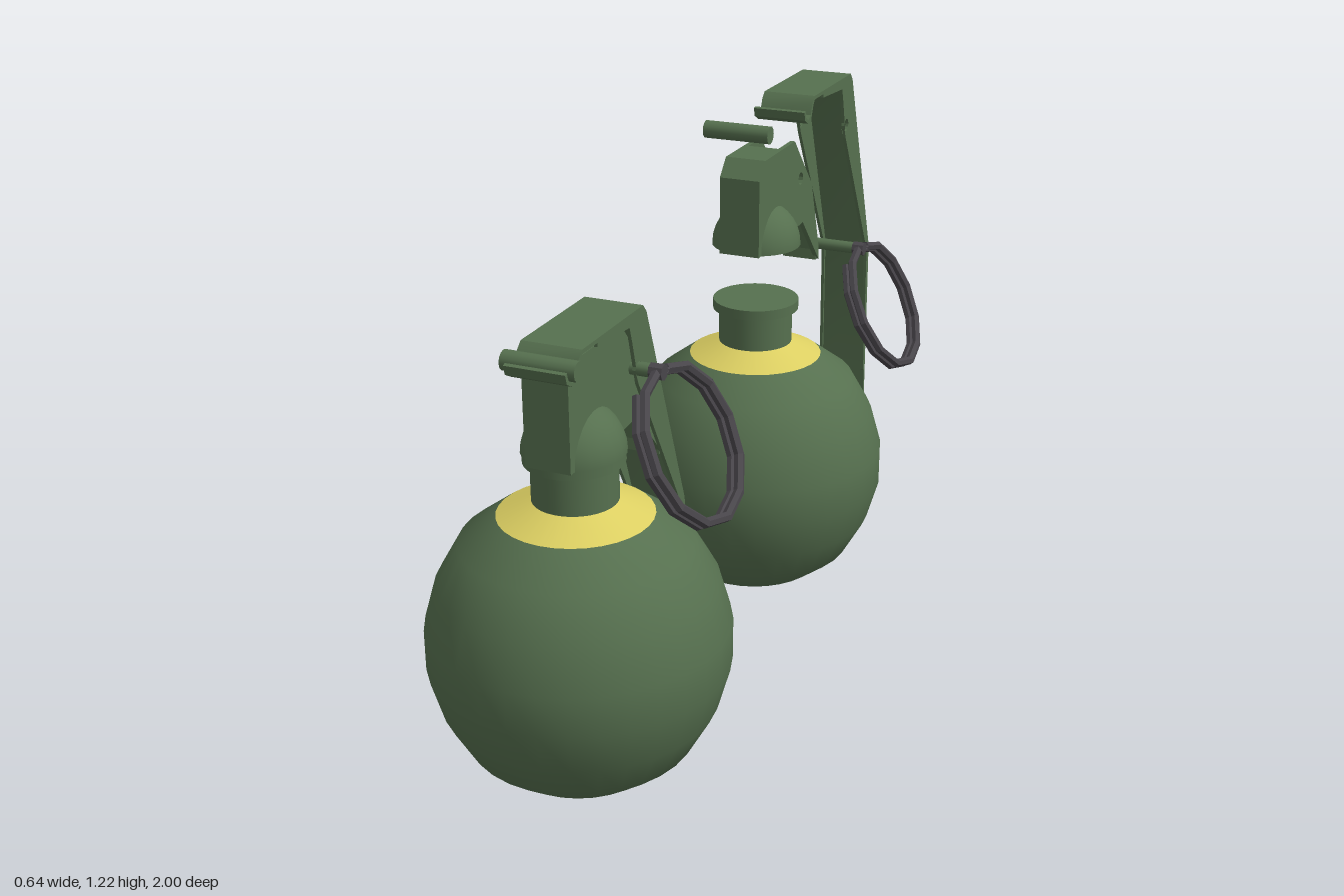
import * as THREE from 'three';
import { toCreasedNormals } from 'three/addons/utils/BufferGeometryUtils.js';

const mat = (color, flatShading = false) => new THREE.MeshStandardMaterial({ color, flatShading, side: THREE.DoubleSide });
const green = mat(0x56704f);
const yellow = mat(0xdccf62);
const steel = mat(0x48454a, true);

const mesh = (name, geo, material = green) => {
  const m = new THREE.Mesh(geo, material);
  m.name = name;
  return m;
};
const toVec = (pts) => pts.map(([a, b]) => new THREE.Vector2(a, b));

// Extrude a (z, y) outline along x, centred on the given x
function sideExtrude(pts, width, x = 0, hole = null) {
  const shape = new THREE.Shape(toVec(pts));
  if (hole) {
    const path = new THREE.Path();
    path.absarc(hole[0], hole[1], hole[2], 0, Math.PI * 2, true);
    shape.holes.push(path);
  }
  const geo = new THREE.ExtrudeGeometry(shape, { depth: width, bevelEnabled: false, curveSegments: 6 });
  geo.translate(0, 0, -width / 2).rotateY(-Math.PI / 2).translate(x, 0, 0);
  return geo;
}

// Outline of bent sheet metal: a (z, y) path thickened to its left
function sheet(pts, t) {
  const v = toVec(pts);
  const inner = v.map((p, i) => {
    const d = v[Math.min(i + 1, v.length - 1)].clone().sub(v[Math.max(i - 1, 0)]).normalize();
    return [p.x - d.y * t, p.y + d.x * t];
  });
  return [...pts, ...inner.reverse()];
}

const HOLE = [-0.169, 0.873, 0.016];

function cylinder(name, r, y0, y1) {
  const m = mesh(name, new THREE.CylinderGeometry(r, r, y1 - y0, 32));
  m.position.y = (y0 + y1) / 2;
  return m;
}

// Round body with painted collar, neck and lip
function createBody() {
  const g = new THREE.Group();
  g.name = 'body';
  const profile = [[0.09, 0], [0.172, 0.04], [0.243, 0.096], [0.293, 0.185], [0.32, 0.28],
    [0.32, 0.37], [0.293, 0.465], [0.243, 0.553], [0.163, 0.612]];
  g.add(mesh('shell', new THREE.LatheGeometry(toVec(profile), 32)));
  const base = mesh('base', new THREE.CircleGeometry(0.09, 32).rotateX(Math.PI / 2));
  g.add(base);
  g.add(mesh('collarBand', new THREE.LatheGeometry(toVec([[0.163, 0.612], [0.09, 0.645]]), 32), yellow));
  g.add(cylinder('neck', 0.09, 0.64, 0.732), cylinder('neckLip', 0.105, 0.73, 0.754));
  return g;
}

// Fuze housing: two cheeks, folded front and top, dome underneath
function createHousing() {
  const g = new THREE.Group();
  g.name = 'fuzeHousing';
  const cheek = [[0.112, 0.75], [0.112, 0.937], [0.075, 0.978], [-0.123, 0.978], [-0.16, 0.937],
    [-0.251, 0.84], [-0.316, 0.65], [-0.316, 0.62], [-0.19, 0.755], [-0.1, 0.75]];
  for (const s of [-1, 1]) g.add(mesh('cheek', sideExtrude(cheek, 0.012, s * 0.044, HOLE)));
  const front = [[0.112, 0.75], [0.112, 0.937], [0.075, 0.978], [-0.04, 0.978]];
  g.add(mesh('frontAndTop', sideExtrude(sheet(front, 0.012), 0.09)));
  const rear = [[-0.251, 0.84], [-0.316, 0.65], [-0.316, 0.62]];
  g.add(mesh('rearPlate', sideExtrude(sheet(rear, 0.01), 0.09)));
  const floor = [[0.112, 0.75], [-0.1, 0.75], [-0.1, 0.762], [0.112, 0.762]];
  g.add(mesh('floor', sideExtrude(floor, 0.09)));
  const dome = mesh('dome', new THREE.SphereGeometry(0.108, 24, 8, 0, Math.PI * 2, 0, Math.PI / 2));
  const cap = mesh('domeCap', new THREE.CircleGeometry(0.108, 24).rotateX(Math.PI / 2));
  dome.position.y = cap.position.y = 0.75;
  g.add(dome, cap);
  return g;
}

// Safety lever: bent strip with a front hook and tapered side flanges
function createLever() {
  const g = new THREE.Group();
  g.name = 'safetyLever';
  const path = [[0.144, 0.978], [0.139, 0.96], [0.123, 0.951], [0.107, 0.96], [0.096, 0.987], [0.08, 1.002],
    [-0.193, 1.002], [-0.209, 0.984], [-0.396, 0.481], [-0.401, 0.032]];
  g.add(mesh('leverStrip', toCreasedNormals(sideExtrude(sheet(path, 0.009), 0.132), 0.5)));
  const flange = [[0.015, 1], [-0.193, 1], [-0.209, 0.982], [-0.396, 0.481], [-0.4, 0.1],
    [-0.385, 0.11], [-0.379, 0.47], [-0.166, 0.84], [-0.139, 0.941], [-0.128, 0.975], [0.015, 0.984]];
  for (const s of [-1, 1]) g.add(mesh('leverFlange', sideExtrude(flange, 0.008, s * 0.062, HOLE)));
  return g;
}

// Cross bar held by the lever hook
function createHingeBar() {
  const bar = mesh('hingeBar', new THREE.CylinderGeometry(0.021, 0.021, 0.16, 12).rotateZ(Math.PI / 2));
  bar.position.set(0, 0.975, 0.123);
  const g = new THREE.Group();
  g.name = 'hinge';
  g.add(bar);
  return g;
}

// Safety pin with a two-turn pull ring
function createPin() {
  const g = new THREE.Group();
  g.name = 'safetyPin';
  const shaft = mesh('pinShaft', new THREE.CylinderGeometry(0.015, 0.015, 0.2, 10).rotateZ(Math.PI / 2), green);
  shaft.position.set(0.018, HOLE[1], HOLE[0]);
  const coil = [];
  const steps = 23;
  for (let i = 0; i <= steps; i++) {
    const a = (i / 12) * Math.PI * 2 + 0.5;
    coil.push(new THREE.Vector3((i / steps - 0.5) * 0.036, Math.cos(a) * 0.167, Math.sin(a) * 0.167));
  }
  const curve = new THREE.CurvePath();
  for (let i = 0; i < steps; i++) curve.add(new THREE.LineCurve3(coil[i], coil[i + 1]));
  const ring = mesh('pullRing', new THREE.TubeGeometry(curve, steps, 0.0115, 6), steel);
  ring.position.set(0.183, 0.725, -0.164);
  ring.rotation.z = 0.46;
  const eye = mesh('pinEye', new THREE.CylinderGeometry(0.018, 0.018, 0.03, 8).rotateZ(Math.PI / 2), steel);
  eye.position.set(0.108, HOLE[1], HOLE[0]);
  g.add(shaft, ring, eye);
  return g;
}

// [part, exploded lift in y, exploded shift in z]
const PARTS = [
  [createBody, 0, 0],
  [createHousing, 0.144, 0],
  [createLever, 0.214, -0.294],
  [createHingeBar, 0.222, 0],
  [createPin, -0.12, -0.305],
];

export function createModel() {
  const model = new THREE.Group();
  model.name = 'grenadePair';
  for (const [name, z, explode] of [['assembledGrenade', 0.68, 0], ['explodedGrenade', -0.305, 1]]) {
    const g = new THREE.Group();
    g.name = name;
    g.position.z = z;
    for (const [make, dy, dz] of PARTS) {
      const part = make();
      part.position.set(0, dy * explode, dz * explode);
      g.add(part);
    }
    model.add(g);
  }
  return model;
}
